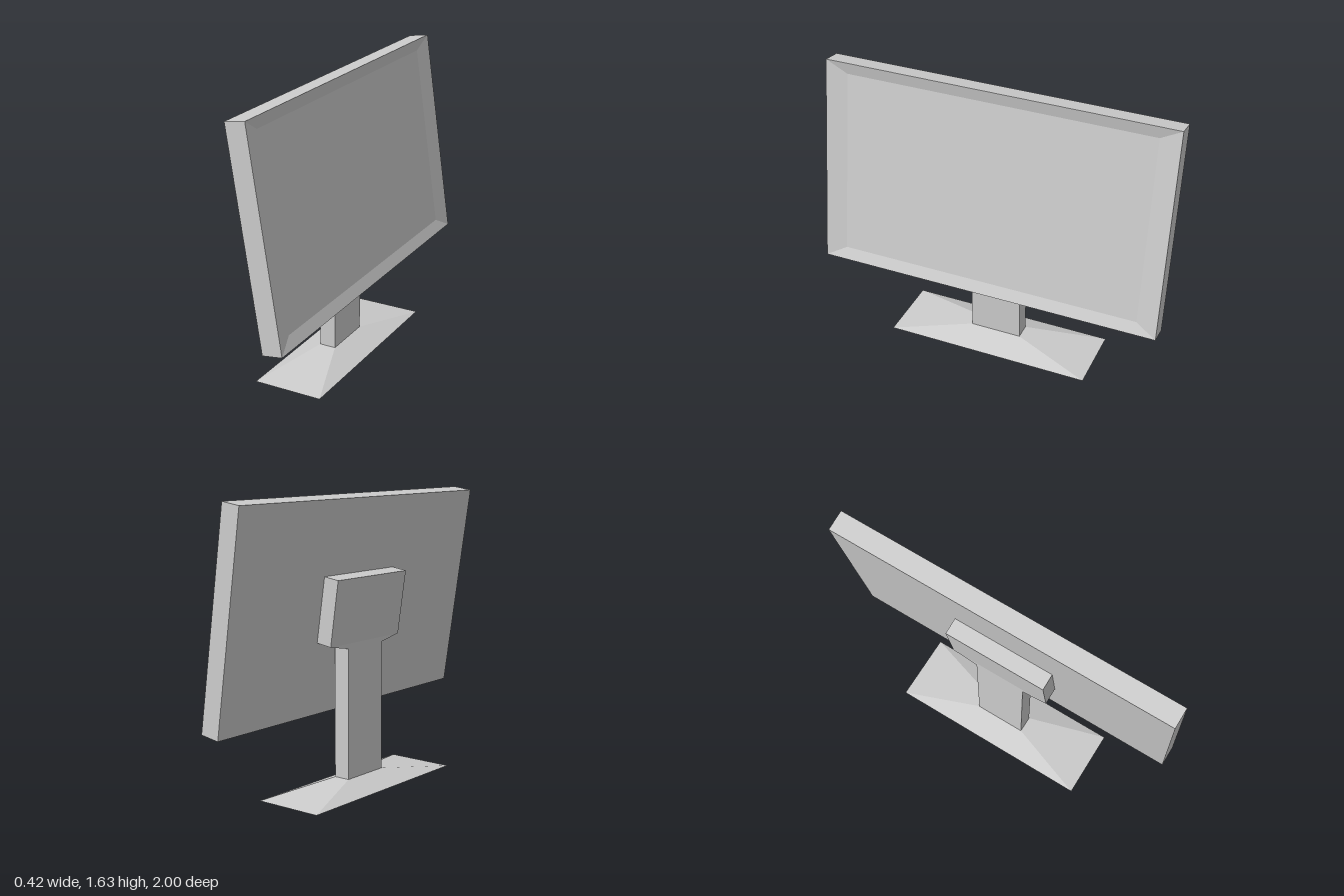
import * as THREE from 'three';

const grey = new THREE.MeshStandardMaterial({ color: 0xcccccc });
grey.name = 'light grey';

// Flat-faced skin through four-cornered rings, with optional end caps
function loft(name, rings, capStart, capEnd) {
  const pos = [];
  const quad = (a, b, c, d) => pos.push(...a, ...b, ...c, ...a, ...c, ...d);
  for (let r = 0; r + 1 < rings.length; r++) {
    for (let i = 0; i < 4; i++) {
      const j = (i + 1) % 4;
      quad(rings[r][i], rings[r][j], rings[r + 1][j], rings[r + 1][i]);
    }
  }
  if (capStart) quad(...[...rings[0]].reverse());
  if (capEnd) quad(...rings[rings.length - 1]);
  const geo = new THREE.BufferGeometry();
  geo.setAttribute('position', new THREE.Float32BufferAttribute(pos, 3));
  geo.computeVertexNormals();
  const mesh = new THREE.Mesh(geo, grey);
  mesh.name = name;
  return mesh;
}

// Stand ring: back and front edges at their own heights, half width w along z
const level = (xBack, yBack, xFront, yFront, w) => [
  [xFront, yFront, w], [xFront, yFront, -w], [xBack, yBack, -w], [xBack, yBack, w],
];

// Screen ring: upright rectangle at depth x
const frame = (x, halfH, halfW) => [
  [x, halfH, -halfW], [x, halfH, halfW], [x, -halfH, halfW], [x, -halfH, -halfW],
];

export function createModel() {
  const model = new THREE.Group();
  model.name = 'monitor';

  // Stand: sloped foot, square column, flared and tilted mounting plate
  const floor = level(-0.21, 0, 0.19, 0, 0.6);
  const foot = level(-0.06, 0.06, 0.035, 0.06, 0.15);
  const neck = level(-0.06, 0.795, 0.035, 0.795, 0.15);
  const plateLow = level(-0.06, 0.823, 0.034, 0.837, 0.3);
  const plateTop = level(-0.113, 1.186, -0.02, 1.2, 0.3);
  const stand = new THREE.Group();
  stand.name = 'stand';
  stand.add(
    loft('base', [floor, foot], true, false),
    loft('column', [foot, neck], false, false),
    loft('mountingPlate', [neck, plateLow, plateTop], false, true),
  );
  model.add(stand);

  // Screen: casing with a bevelled rim sinking to the display, tilted back
  const halfH = 0.599, depth = 0.116, sunk = 0.022;
  const innerH = halfH - 0.068, innerW = 0.88;
  const screen = new THREE.Group();
  screen.name = 'screen';
  screen.add(
    loft('casing', [frame(0, halfH, 1), frame(depth, halfH, 1)], true, false),
    loft('bezel', [frame(depth, halfH, 1), frame(depth - sunk, innerH, innerW)], false, false),
  );
  const display = new THREE.Mesh(new THREE.PlaneGeometry(innerW * 2, innerH * 2), grey);
  display.name = 'display';
  display.rotation.y = Math.PI / 2;
  display.position.x = depth - sunk;
  screen.add(display);
  screen.position.set(0.0075, 1.0175, 0);
  screen.rotation.z = 0.147;
  model.add(screen);

  return model;
}
